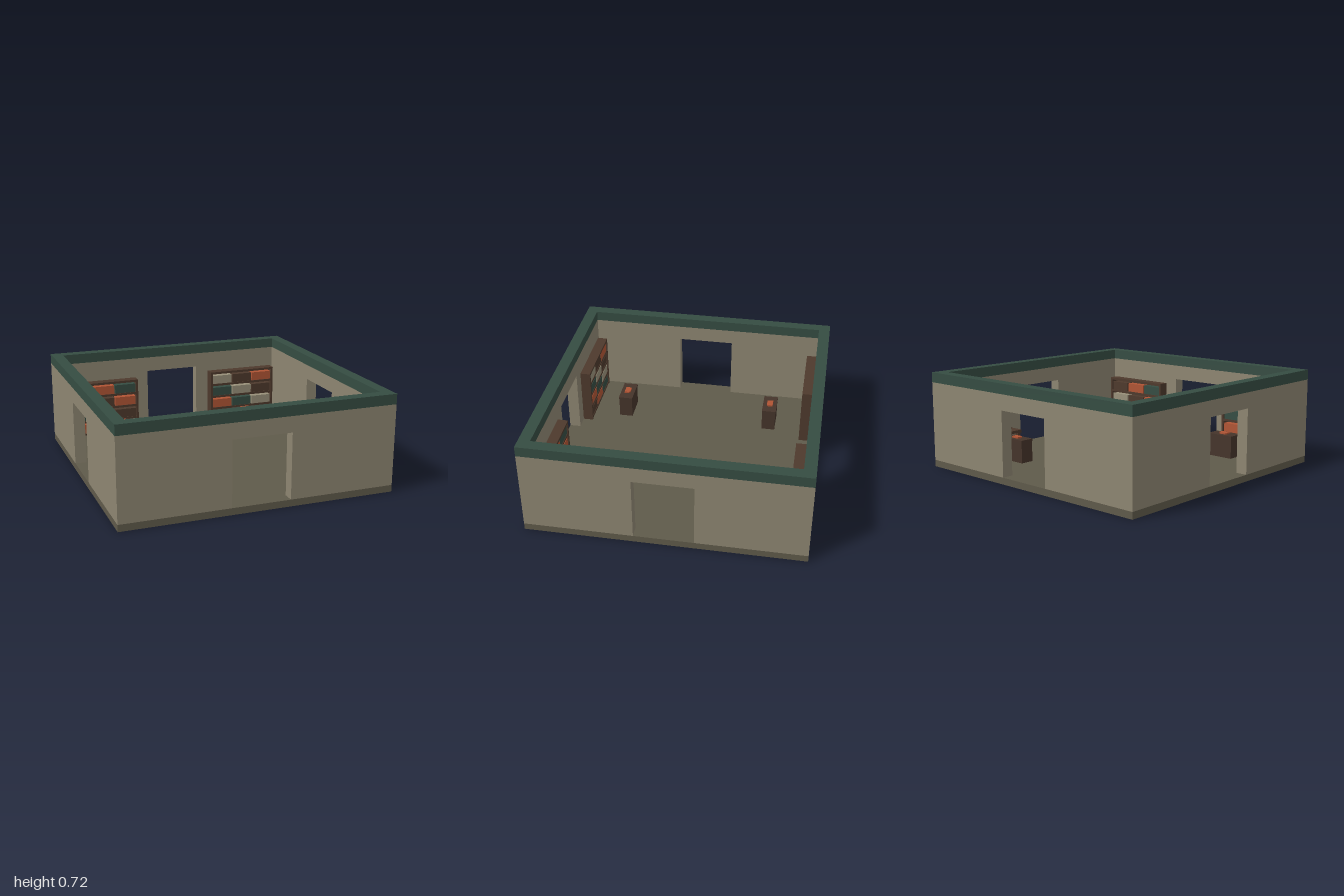
import * as THREE from 'three';

const mat = (name, color) => new THREE.MeshStandardMaterial({ name, color });

export function createModel() {
  const wall = mat('wall plaster', 0x8d8571);
  const floor = mat('floor stone', 0x5f5a4a);
  const green = mat('dark green', 0x354c42);
  const wood = mat('shelf wood', 0x4d392c);
  const deskWood = mat('desk wood', 0x45342a);
  const red = mat('rust red', 0xb05434);
  const cream = mat('cream', 0x989079);
  const room = new THREE.Group();
  room.name = 'libraryRoom';

  const FLOOR = 0.05, WALL_TOP = 0.645, TOP = 0.72, IN = 0.915, THICK = 1 - IN;

  // Box given by size and centre
  const box = (parent, name, m, w, h, d, x, y, z) => {
    const mesh = new THREE.Mesh(new THREE.BoxGeometry(w, h, d), m);
    mesh.name = name;
    mesh.position.set(x, y, z);
    parent.add(mesh);
    return mesh;
  };

  box(room, 'floorSlab', floor, 2, FLOOR, 2, 0, FLOOR / 2, 0);

  // Four walls, each with a central doorway, and the trim above them
  for (let i = 0; i < 4; i++) {
    const half = i % 2 ? IN : 1;
    const side = new THREE.Group();
    side.name = ['frontWall', 'leftWall', 'backWall', 'rightWall'][i];
    side.rotation.y = i * Math.PI / 2;
    const s = new THREE.Shape([
      [-half, FLOOR], [-0.215, FLOOR], [-0.215, 0.53], [0.215, 0.53],
      [0.215, FLOOR], [half, FLOOR], [half, WALL_TOP], [-half, WALL_TOP],
    ].map(([x, y]) => new THREE.Vector2(x, y)));
    const panel = new THREE.Mesh(
      new THREE.ExtrudeGeometry(s, { depth: THICK, bevelEnabled: false }), wall);
    panel.name = 'wallWithDoorway';
    panel.position.z = IN;
    side.add(panel);
    box(side, 'wallTrim', green, half * 2, TOP - WALL_TOP, THICK,
      0, (TOP + WALL_TOP) / 2, IN + THICK / 2);
    room.add(side);
  }

  // Bookshelf: back at z = 0, open face toward +z, four rows of three book blocks
  const bookColours = [red, green, cream, wood];
  const makeShelf = (offset) => {
    const g = new THREE.Group();
    g.name = 'bookshelf';
    const W = 0.573, D = 0.077, H = 0.435, T = 0.018, rows = 4;
    box(g, 'shelfBack', wood, W - 2 * T, H - T, 0.012, 0, (H - T) / 2, 0.006);
    for (const sx of [-1, 1]) {
      box(g, 'shelfSide', wood, T, H - T, D, sx * (W - T) / 2, (H - T) / 2, D / 2);
    }
    box(g, 'shelfTop', wood, W, T, D, 0, H - T / 2, D / 2);
    const pitch = (H - T) / rows, cell = (W - 2 * T) / 3;
    for (let r = 0; r < rows; r++) {
      box(g, 'shelfBoard', wood, W - 2 * T, T, D - 0.016, 0, r * pitch + T / 2, D / 2 + 0.004);
      for (let c = 0; c < 3; c++) {
        box(g, 'bookRow', bookColours[(r + c + offset) % 4], cell - 0.008, 0.07, D - 0.022,
          (c - 1) * cell, r * pitch + T + 0.035, D / 2 + 0.003);
      }
    }
    return g;
  };

  // Open book with the near corners cut
  const bookShape = new THREE.Shape([
    [-0.035, 0.023], [-0.035, -0.012], [-0.025, -0.023],
    [0.025, -0.023], [0.035, -0.012], [0.035, 0.023],
  ].map(([x, y]) => new THREE.Vector2(x, y)));
  const bookGeo = new THREE.ExtrudeGeometry(bookShape, { depth: 0.012, bevelEnabled: false });
  bookGeo.rotateX(-Math.PI / 2);

  const makeDesk = () => {
    const g = new THREE.Group();
    g.name = 'readingDesk';
    box(g, 'deskBody', deskWood, 0.21, 0.155, 0.104, 0, 0.0775, 0);
    box(g, 'deskTop', deskWood, 0.216, 0.018, 0.11, 0, 0.164, 0);
    const book = new THREE.Mesh(bookGeo, red);
    book.name = 'deskBook';
    book.position.set(0, 0.173, 0);
    g.add(book);
    return g;
  };

  // One shelf and one desk in each quarter of the room, facing the middle
  for (const sz of [-1, 1]) {
    for (const sx of [-1, 1]) {
      const turn = sz > 0 ? Math.PI : 0;
      const shelf = makeShelf(sx * sz > 0 ? 0 : 3);
      shelf.position.set(sx * 0.607, FLOOR, sz * IN);
      shelf.rotation.y = turn;
      const desk = makeDesk();
      desk.position.set(sx * 0.532, FLOOR, sz * 0.583);
      desk.rotation.y = turn;
      room.add(shelf, desk);
    }
  }

  // Side table with four legs, a paper sheet and a small inkwell
  const table = new THREE.Group();
  table.name = 'sideTable';
  table.position.set(0.813, FLOOR, -0.488);
  box(table, 'tableTop', wood, 0.143, 0.022, 0.267, 0, 0.159, 0);
  for (const sx of [-1, 1]) {
    for (const sz of [-1, 1]) {
      box(table, 'tableLeg', wood, 0.026, 0.148, 0.026, sx * 0.052, 0.074, sz * 0.112);
    }
  }
  box(table, 'paperSheet', cream, 0.058, 0.008, 0.05, 0, 0.174, -0.046);
  const ink = new THREE.Mesh(new THREE.CylinderGeometry(0.007, 0.007, 0.016, 8), deskWood);
  ink.name = 'inkwell';
  ink.position.set(0, 0.178, 0.083);
  table.add(ink);
  room.add(table);

  return room;
}
